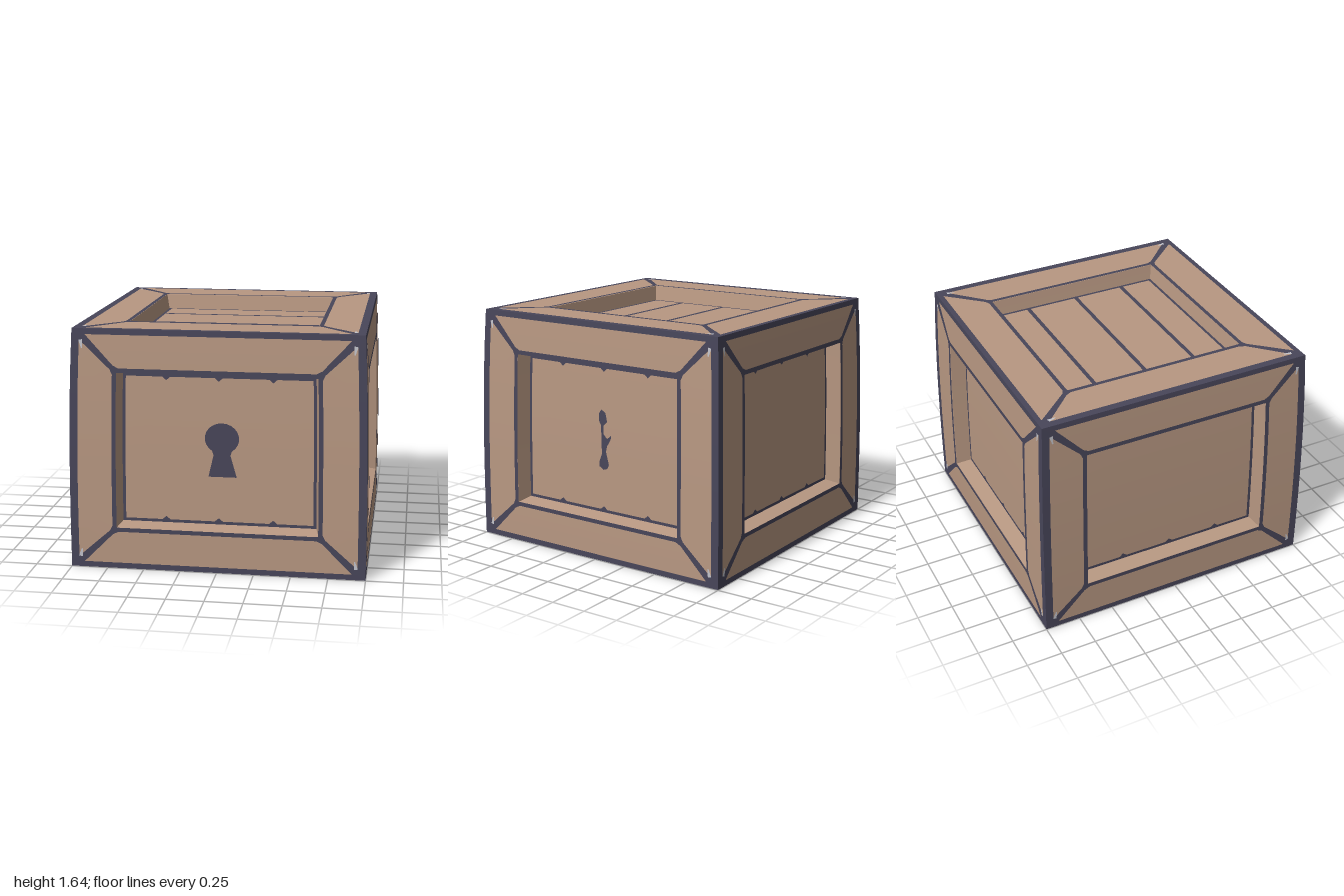
import * as THREE from 'three';
import { mergeGeometries } from 'three/addons/utils/BufferGeometryUtils.js';

const H = 1.64;          // crate height
const DEPTH = 0.11;      // recess of the panels
const SKIN = 0.004;      // lift of painted lines

const material = (name, color) => {
  const m = new THREE.MeshStandardMaterial({ color });
  m.name = name;
  return m;
};

// The crate narrows gently towards its top
function warp(p) {
  const t = THREE.MathUtils.clamp(p.y / H, 0, 1);
  const s = 1 - 0.038 * t ** 2.5;
  p.x *= s;
  p.z *= s;
  return p;
}

// Tools that place flat pieces on one side of the crate: u right, v up, w outward
function faceTools(right, up, normal, half) {
  const centre = new THREE.Vector3(0, H / 2, 0);
  const place = (u, v, w) => warp(centre.clone()
    .addScaledVector(right, u)
    .addScaledVector(up, v)
    .addScaledVector(normal, half + w));

  // Subdivided quad through four (u, v, w) corners, counter-clockwise
  function quad(a, b, c, d, n = 8) {
    const g = new THREE.PlaneGeometry(1, 1, n, n);
    const pos = g.attributes.position;
    for (let i = 0; i < pos.count; i++) {
      const s = pos.getX(i) + 0.5, t = pos.getY(i) + 0.5;
      const q = a.map((_, k) => (1 - t) * ((1 - s) * a[k] + s * b[k]) + t * ((1 - s) * d[k] + s * c[k]));
      pos.setXYZ(i, ...place(...q).toArray());
    }
    g.deleteAttribute('uv');
    g.computeVertexNormals();
    return g;
  }

  const corners = (a, b, w) => [[-a, -b, w], [a, -b, w], [a, b, w], [-a, b, w]];

  // Four mitred quads between an outer and an inner rectangle
  function ring(outer, inner) {
    const o = corners(...outer), i = corners(...inner);
    return o.map((_, k) => quad(o[k], o[(k + 1) % 4], i[(k + 1) % 4], i[k]));
  }

  // Flat painted shape
  function poly(points, w) {
    const g = new THREE.ShapeGeometry(new THREE.Shape(points.map(p => new THREE.Vector2(...p))));
    const pos = g.attributes.position;
    for (let i = 0; i < pos.count; i++) {
      pos.setXYZ(i, ...place(pos.getX(i), pos.getY(i), w).toArray());
    }
    g.deleteAttribute('uv');
    g.computeVertexNormals();
    return g;
  }

  // Painted line with its own width at each end
  function line(u0, v0, u1, v1, w0, w1, w) {
    const l = Math.hypot(u1 - u0, v1 - v0);
    const x = -(v1 - v0) / l / 2, y = (u1 - u0) / l / 2;
    return poly([[u0 - x * w0, v0 - y * w0], [u1 - x * w1, v1 - y * w1],
      [u1 + x * w1, v1 + y * w1], [u0 + x * w0, v0 + y * w0]], w);
  }

  const panel = (a, b, w) => quad(...corners(a, b, w));
  return { ring, poly, line, panel };
}

// Keyhole outline: round head over a flared foot
function keyholePoints() {
  const pts = [[-0.035, -0.03], [-0.07, -0.18], [0.122, -0.18], [0.08, -0.03]];
  for (let i = 0; i <= 18; i++) {
    const a = THREE.MathUtils.degToRad(-55 + i * 290 / 18);
    pts.push([0.022 + 0.117 * Math.cos(a), 0.085 + 0.105 * Math.sin(a)]);
  }
  return pts;
}

// Narrow uneven slot on the right-hand panel
const slotPoints = [
  [-0.04, 0.18], [-0.02, 0.21], [0.015, 0.19], [0.03, 0.13], [0, 0.1], [0, 0.04],
  [0.03, 0.01], [0.065, 0.04], [0.06, 0.01], [0.03, -0.04], [0.02, -0.08], [0.045, -0.17],
  [0.03, -0.2], [0, -0.21], [-0.035, -0.19], [-0.035, -0.15], [-0.015, -0.1],
  [-0.022, 0.1], [-0.04, 0.13],
];

export function createModel() {
  const wood = material('wood', 0xb89882);
  const ink = material('darkEdge', 0x48465a);
  const worn = material('wornEdge', 0xc3c4cc);
  const model = new THREE.Group();
  model.name = 'crate';

  const X = new THREE.Vector3(1, 0, 0), Y = new THREE.Vector3(0, 1, 0), Z = new THREE.Vector3(0, 0, 1);
  const sides = [
    ['front', X, Y], ['back', X.clone().negate(), Y],
    ['leftSide', Z.clone().negate(), Y], ['rightSide', Z, Y],
    ['top', X, Z.clone().negate()], ['bottom', X, Z],
  ];

  for (const [name, right, up] of sides) {
    const lying = name === 'top' || name === 'bottom';
    const normal = right.clone().cross(up);
    const a = 1 - SKIN, b = (lying ? 1 : H / 2) - SKIN;      // outer half size
    const oa = lying ? 0.67 : 0.685, ob = lying ? 0.67 : 0.535; // opening
    const pa = oa - 0.025, pb = ob - 0.022;                  // panel
    const f = faceTools(right, up, normal, (lying ? H / 2 : 1) - SKIN);
    const group = new THREE.Group();
    group.name = name;
    const add = (part, mat, geos) => {
      const m = new THREE.Mesh(mergeGeometries(geos), mat);
      m.name = part;
      group.add(m);
    };

    // Timber frame, recess walls and sunken panel
    add('frame', wood, f.ring([a, b, 0], [oa, ob, 0]));
    add('recessWalls', wood, f.ring([oa, ob, 0], [pa, pb, -DEPTH]));
    add('panel', wood, [f.panel(pa, pb, -DEPTH)]);

    // Dark outer rim, rim of the opening and border of the panel
    add('outerRim', ink, f.ring([a + SKIN, b + SKIN, SKIN], [a - 0.05, b - 0.034, SKIN]));
    add('openingRim', ink, f.ring([oa + 0.026, ob + 0.026, SKIN], [oa - 0.003, ob - 0.003, SKIN]));
    add('panelBorder', ink, f.ring([pa, pb, SKIN - DEPTH], [pa - 0.02, pb - 0.02, SKIN - DEPTH]));

    // Mitre joints with worn patches at the corners
    const joints = [], wear = [];
    for (const su of [-1, 1]) {
      for (const sv of [-1, 1]) {
        joints.push(f.line(su * (a - 0.035), sv * (b - 0.02), su * oa, sv * ob, 0.055, 0.03, SKIN));
        joints.push(f.line(su * (oa + 0.035), sv * (ob + 0.035), su * (oa - 0.005), sv * (ob - 0.005), 0.03, 0.07, SKIN));
        wear.push(f.line(su * (a - 0.06), sv * (b - 0.07), su * (a - 0.072), sv * (b - 0.125), 0.026, 0.008, SKIN + 0.002));
      }
    }
    add('mitreJoints', ink, joints);
    add('wornCorners', worn, wear);

    // Small notches where planks meet the panel border
    const notches = [];
    for (const u of [-0.36, 0, 0.37]) {
      for (const s of [-1, 1]) {
        const e = s * (pb - 0.018);
        notches.push(f.poly([[u - 0.03, e], [u + 0.03, e], [u, e - s * 0.025]], SKIN - DEPTH));
      }
    }
    if (name !== 'top') add('plankNotches', ink, notches);

    // Details found on single sides
    if (name === 'top') {
      add('plankSeams', ink, [-0.385, 0, 0.39].map(v =>
        f.line(-pa + 0.01, v, pa - 0.01, v, 0.03, 0.03, SKIN - DEPTH)));
    }
    if (name === 'front') add('keyhole', ink, [f.poly(keyholePoints(), SKIN - DEPTH)]);
    if (name === 'leftSide') add('slot', ink, [f.poly(slotPoints, SKIN - DEPTH)]);
    model.add(group);
  }
  return model;
}
